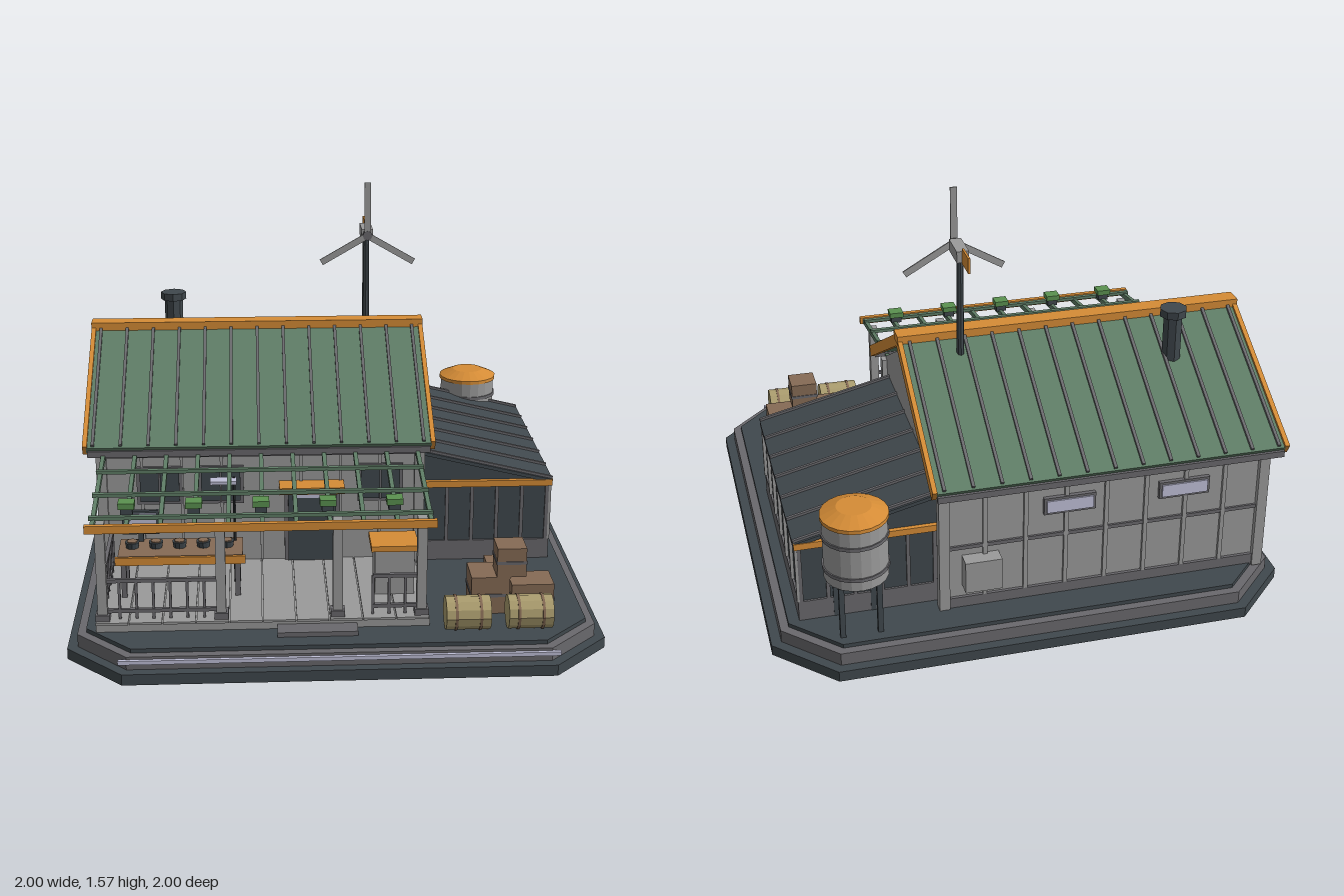
import * as THREE from 'three';

export function createModel() {
  const model = new THREE.Group();
  const mat = (name, color) => {
    const m = new THREE.MeshStandardMaterial({ color, flatShading: true });
    m.name = name;
    return m;
  };
  const wall = mat('wall grey', 0x9a9a9a), slate = mat('slate', 0x40484d), grey = mat('trim grey', 0x6a696d);
  const orange = mat('orange', 0xd58c36), brown = mat('crate brown', 0x866b55), tan = mat('barrel tan', 0xaa9c6e);
  const pale = mat('pale light', 0xc0c0d8), green = mat('roof green', 0x5f7d66);
  const leaf = mat('leaf green', 0x5b9150), black = mat('near black', 0x2a2d30);

  const add = (name, geo, m) => {
    const mesh = new THREE.Mesh(geo, m);
    mesh.name = name;
    model.add(mesh);
    return mesh;
  };
  // box from its lower to its upper bounds
  const box = (name, m, x0, x1, y0, y1, z0, z1) => {
    const b = add(name, new THREE.BoxGeometry(x1 - x0, y1 - y0, z1 - z0), m);
    b.position.set((x0 + x1) / 2, (y0 + y1) / 2, (z0 + z1) / 2);
    return b;
  };
  // beam running from point a to point b
  const strut = (name, m, a, b, w, h) => {
    const p = new THREE.Vector3(...a), q = new THREE.Vector3(...b);
    const s = add(name, new THREE.BoxGeometry(w, h, p.distanceTo(q)), m);
    s.position.copy(p).lerp(q, 0.5);
    s.lookAt(q);
    return s;
  };
  const cyl = (name, m, r0, r1, x, y0, y1, z, n = 12) => {
    const c = add(name, new THREE.CylinderGeometry(r1, r0, y1 - y0, n), m);
    c.position.set(x, (y0 + y1) / 2, z);
    return c;
  };
  const prism = (pts, depth) => new THREE.ExtrudeGeometry(
    new THREE.Shape(pts.map(p => new THREE.Vector2(...p))), { depth, bevelEnabled: false });

  // chamfered base in three steps
  const slab = (m, r, c, y0, y1) => {
    const pts = [[r, -c], [r, c], [c, r], [-c, r], [-c, -0 + r], [-r, c], [-r, -c], [-c, -r], [c, -r]]
      .filter((p, i) => i !== 4);
    add('base', prism(pts, y1 - y0).rotateX(-Math.PI / 2).translate(0, y0, 0), m);
  };
  slab(slate, 1, 0.785, 0, 0.042);
  slab(grey, 0.962, 0.77, 0.042, 0.092);
  slab(slate, 0.93, 0.755, 0.092, 0.108);
  box('baseLightStrip', pale, -0.8, 0.8, 0.067, 0.082, 0.96, 0.975);

  // house body with gables
  const X0 = -0.9, X1 = 0.35, ZF = 0.24, ZB = -0.8, ZR = -0.27;
  add('houseBody', prism([[ZB, 0.1], [ZF, 0.1], [ZF, 0.65], [ZR, 0.95], [ZB, 0.65]], X1 - X0)
    .rotateY(-Math.PI / 2).translate(X1, 0, 0), wall);
  for (const x of [X0, X1]) for (const z of [ZF, ZB])
    box('cornerPost', wall, x - 0.02, x + 0.02, 0.1, 0.64, z - 0.02, z + 0.02);
  box('backPlinth', grey, X0 - 0.01, X1 + 0.01, 0.1, 0.15, ZB - 0.012, ZB);
  box('sidePlinth', grey, X0 - 0.012, X0, 0.1, 0.15, ZB, ZF);
  box('backRail', grey, X0, X1, 0.36, 0.375, ZB - 0.008, ZB);
  for (let i = 1; i < 8; i++) {
    const x = X0 + i * (X1 - X0) / 8;
    box('backBatten', wall, x - 0.008, x + 0.008, 0.15, 0.64, ZB - 0.012, ZB);
    box('frontBatten', wall, x - 0.006, x + 0.006, 0.15, 0.64, ZF, ZF + 0.008);
  }

  // roof, ribs and trims
  for (const zE of [0.31, -0.87]) {
    const E = 0.645, R = 0.98;
    strut('roofPanel', green, [-0.28, E, zE], [-0.28, R, ZR], 1.34, 0.025);
    for (let i = 0; i < 13; i++) {
      const x = -0.925 + i * 0.107;
      strut('roofRib', grey, [x, E + 0.017, zE], [x, R + 0.017, ZR], 0.012, 0.016);
    }
    for (const x of [-0.955, 0.395])
      strut('gableTrim', orange, [x, E, zE], [x, R, ZR], 0.018, 0.045);
    box('eaveFascia', grey, -0.945, 0.385, 0.618, 0.643, zE - 0.01, zE + 0.01);
  }
  box('ridgeCap', orange, -0.965, 0.405, 0.973, 1.007, ZR - 0.035, ZR + 0.035);

  // chimney
  cyl('chimney', slate, 0.038, 0.038, -0.635, 0.8, 1.055, -0.46, 8);
  cyl('chimneyCap', slate, 0.053, 0.053, -0.635, 1.05, 1.08, -0.46, 8);

  // wind turbine
  cyl('turbinePole', slate, 0.015, 0.013, 0.175, 0.9, 1.35, -0.36, 8);
  box('turbineBody', wall, 0.152, 0.198, 1.333, 1.378, -0.41, -0.285);
  box('turbineTail', orange, 0.171, 0.179, 1.33, 1.39, -0.505, -0.41);
  const hub = cyl('turbineHub', grey, 0.02, 0.02, 0.175, 1.34, 1.37, -0.278, 8);
  hub.rotation.x = Math.PI / 2;
  for (let i = 0; i < 3; i++) {
    const blade = add('turbineBlade', new THREE.BoxGeometry(0.026, 0.205, 0.006).translate(0, 0.117, 0), wall);
    blade.position.set(0.175, 1.355, -0.268);
    blade.rotation.z = i * Math.PI * 2 / 3;
  }

  // front door and windows
  box('doorFrame', grey, -0.185, 0.035, 0.15, 0.46, ZF, ZF + 0.015);
  box('door', slate, -0.17, 0.02, 0.15, 0.45, ZF, ZF + 0.025);
  box('doorLight', pale, -0.14, -0.02, 0.418, 0.434, ZF + 0.02, ZF + 0.03);
  box('doorAwning', orange, -0.205, 0.05, 0.455, 0.482, ZF, ZF + 0.09);
  for (const x of [-0.675, -0.435, 0.195]) {
    box('windowFrame', grey, x - 0.09, x + 0.09, 0.395, 0.55, ZF, ZF + 0.012);
    box('windowPane', slate, x - 0.077, x + 0.077, 0.408, 0.538, ZF, ZF + 0.018);
    box('windowBar', grey, x - 0.004, x + 0.004, 0.408, 0.538, ZF, ZF + 0.024);
  }

  // back windows and service box
  for (const x of [-0.13, -0.58]) {
    box('backWindowFrame', grey, x - 0.1, x + 0.1, 0.465, 0.535, ZB - 0.016, ZB);
    box('backWindow', pale, x - 0.09, x + 0.09, 0.475, 0.525, ZB - 0.022, ZB);
  }
  box('serviceBox', wall, 0.14, 0.28, 0.2, 0.33, ZB - 0.06, ZB);

  // left side: double doors and braced loft hatch
  box('sideDoorFrame', grey, X0 - 0.01, X0, 0.12, 0.52, -0.46, -0.07);
  for (const z of [-0.45, -0.26]) box('sideDoor', wall, X0 - 0.018, X0, 0.13, 0.51, z, z + 0.18);
  const hx = X0 - 0.015;
  box('loftHatch', slate, X0 - 0.008, X0, 0.64, 0.84, -0.39, -0.15);
  for (const y of [0.64, 0.84]) box('hatchTrim', orange, hx - 0.01, X0, y - 0.012, y + 0.012, -0.402, -0.138);
  for (const z of [-0.39, -0.15]) box('hatchTrim', orange, hx - 0.01, X0, 0.64, 0.84, z - 0.012, z + 0.012);
  strut('hatchBrace', orange, [hx, 0.64, -0.39], [hx, 0.84, -0.15], 0.014, 0.014);
  strut('hatchBrace', orange, [hx, 0.84, -0.39], [hx, 0.64, -0.15], 0.014, 0.014);
  box('gableLamp', slate, -0.97, X0, 0.86, 0.885, ZR - 0.02, ZR + 0.02);

  // porch deck and step
  box('deckBase', wall, -0.89, 0.34, 0.1, 0.139, ZF, 0.79);
  for (let i = 0; i < 10; i++)
    box('deckPlank', wall, -0.89 + i * 0.123, -0.772 + i * 0.123, 0.139, 0.148, ZF, 0.8);
  box('porchStep', grey, -0.225, 0.07, 0.1, 0.126, 0.79, 0.862);

  // porch posts and pergola
  const py = z => 0.625 - (z - 0.26) * 0.16;
  for (const x of [-0.865, -0.43, 0.0, 0.31]) {
    box('porchPost', wall, x - 0.018, x + 0.018, 0.148, 0.53, 0.742, 0.778);
    box('postFoot', grey, x - 0.026, x + 0.026, 0.148, 0.172, 0.734, 0.786);
  }
  for (let i = 0; i < 11; i++) {
    const x = -0.885 + i * 0.122;
    strut('pergolaRafter', green, [x, py(0.26), 0.26], [x, py(0.83), 0.83], 0.016, 0.022);
  }
  for (const z of [0.45, 0.62, 0.78])
    strut('pergolaBatten', green, [-0.9, py(z) + 0.014, z], [0.345, py(z) + 0.014, z], 0.018, 0.014);
  box('pergolaWallBeam', grey, -0.9, 0.35, 0.6, 0.63, 0.25, 0.28);
  box('pergolaFrontBeam', orange, -0.912, 0.355, 0.52, 0.55, 0.825, 0.845);
  for (let i = 0; i < 5; i++) {
    const x = -0.765 + i * 0.243;
    box('hangingPlant', leaf, x - 0.03, x + 0.03, 0.583, 0.606, 0.72, 0.775);
    box('plantTray', slate, x - 0.022, x + 0.022, 0.555, 0.583, 0.73, 0.765);
  }

  // railings
  const railing = (a, b) => {
    const n = Math.max(2, Math.round(Math.hypot(b[0] - a[0], b[1] - a[1]) / 0.06));
    for (const y of [0.18, 0.3]) strut('railingBar', grey, [a[0], y, a[1]], [b[0], y, b[1]], 0.014, 0.014);
    for (let i = 0; i <= n; i++) {
      const x = a[0] + (b[0] - a[0]) * i / n, z = a[1] + (b[1] - a[1]) * i / n;
      box('railingPicket', grey, x - 0.005, x + 0.005, 0.148, 0.3, z - 0.005, z + 0.005);
    }
  };
  railing([-0.865, 0.76], [-0.43, 0.76]);
  railing([-0.865, 0.28], [-0.865, 0.76]);
  railing([0.13, 0.76], [0.31, 0.76]);

  // long table with pots and a screen
  box('tableTop', brown, -0.82, -0.35, 0.297, 0.32, 0.42, 0.59);
  box('tableEdge', orange, -0.83, -0.34, 0.287, 0.318, 0.585, 0.6);
  for (const x of [-0.8, -0.37]) for (const z of [0.44, 0.57])
    box('tableLeg', grey, x - 0.01, x + 0.01, 0.148, 0.3, z - 0.01, z + 0.01);
  for (let i = 0; i < 5; i++) {
    const x = -0.77 + i * 0.09;
    cyl('pot', slate, 0.024, 0.028, x, 0.32, 0.343, 0.5, 10);
    cyl('potLid', brown, 0.02, 0.02, x, 0.343, 0.347, 0.5, 10);
  }
  box('screenFrame', slate, -0.81, -0.67, 0.352, 0.448, 0.436, 0.45);
  box('screenFace', pale, -0.8, -0.68, 0.362, 0.438, 0.45, 0.454);
  box('screenStand', slate, -0.75, -0.73, 0.32, 0.355, 0.437, 0.448);
  cyl('lampPole', black, 0.006, 0.006, -0.38, 0.148, 0.58, 0.45, 6);
  box('lampPanel', pale, -0.47, -0.37, 0.565, 0.578, 0.445, 0.495);

  // serving counter
  box('counter', wall, 0.15, 0.3, 0.148, 0.33, 0.475, 0.595);
  box('counterTop', orange, 0.135, 0.315, 0.328, 0.35, 0.46, 0.61);

  // glazed annex with sloped roof
  const AX = 0.88, AF = 0.18, AB = -0.74;
  add('annexBody', prism([[X1, 0.18], [AX, 0.18], [AX, 0.435], [X1, 0.57]], AF - AB).translate(0, 0, AB), slate);
  box('annexPlinth', grey, X1, AX + 0.008, 0.1, 0.19, AB - 0.008, AF + 0.008);
  strut('annexRoof', slate, [0.345, 0.575, -0.28], [0.895, 0.442, -0.28], 0.95, 0.014);
  for (let i = 0; i < 7; i++) {
    const z = AF - i * 0.1533;
    strut('annexRoofRib', grey, [0.345, 0.586, z], [0.895, 0.453, z], 0.012, 0.012);
    box('annexSideMullion', wall, AX, AX + 0.012, 0.19, 0.44, z - 0.008, z + 0.008);
  }
  box('annexEave', grey, AX, AX + 0.016, 0.43, 0.446, AB, AF);
  for (const [z, s] of [[AF, 1], [AB, -1]]) {
    box('annexBeam', orange, X1 + 0.01, AX + 0.014, 0.424, 0.45, z + s * 0.008 - 0.01, z + s * 0.008 + 0.01);
    for (let i = 0; i < 6; i++) {
      const x = 0.37 + i * 0.101;
      box('annexEndMullion', grey, x - 0.007, x + 0.007, 0.19, 0.43, z - 0.008, z + 0.008);
    }
  }

  // water tank
  const tx = 0.677, tz = -0.81;
  cyl('tank', wall, 0.12, 0.12, tx, 0.33, 0.585, tz, 20);
  for (const y of [0.37, 0.5]) cyl('tankBand', grey, 0.125, 0.125, tx, y, y + 0.014, tz, 20);
  cyl('tankLidRim', orange, 0.126, 0.126, tx, 0.575, 0.59, tz, 20);
  cyl('tankLid', orange, 0.126, 0.065, tx, 0.59, 0.617, tz, 20);
  for (const dx of [-0.07, 0.07]) for (const dz of [-0.07, 0.07])
    box('tankLeg', slate, tx + dx - 0.01, tx + dx + 0.01, 0.1, 0.34, tz + dz - 0.01, tz + dz + 0.01);

  // crates
  const crate = (x0, x1, y0, y1, z0, z1) => {
    box('crate', brown, x0, x1, y0, y1, z0, z1);
    const y = (y0 + y1) / 2;
    box('crateStrap', grey, x0 - 0.003, x1 + 0.003, y - 0.006, y + 0.006, z0 - 0.003, z1 + 0.003);
  };
  crate(0.505, 0.65, 0.108, 0.255, 0.555, 0.7);
  crate(0.655, 0.815, 0.108, 0.23, 0.59, 0.715);
  crate(0.59, 0.71, 0.108, 0.225, 0.42, 0.535);
  crate(0.6, 0.71, 0.255, 0.37, 0.59, 0.7);

  // barrels lying on their sides
  for (const x of [0.475, 0.705]) {
    const parts = [['barrel', tan, 0.063, 0.165, 0], ['barrelHoop', brown, 0.066, 0.01, -0.045], ['barrelHoop', brown, 0.066, 0.01, 0.045]];
    for (const [name, m, r, len, dx] of parts) {
      const b = add(name, new THREE.CylinderGeometry(r, r, len, 12).rotateZ(Math.PI / 2), m);
      b.position.set(x + dx, 0.173, 0.818);
    }
  }
  return model;
}
